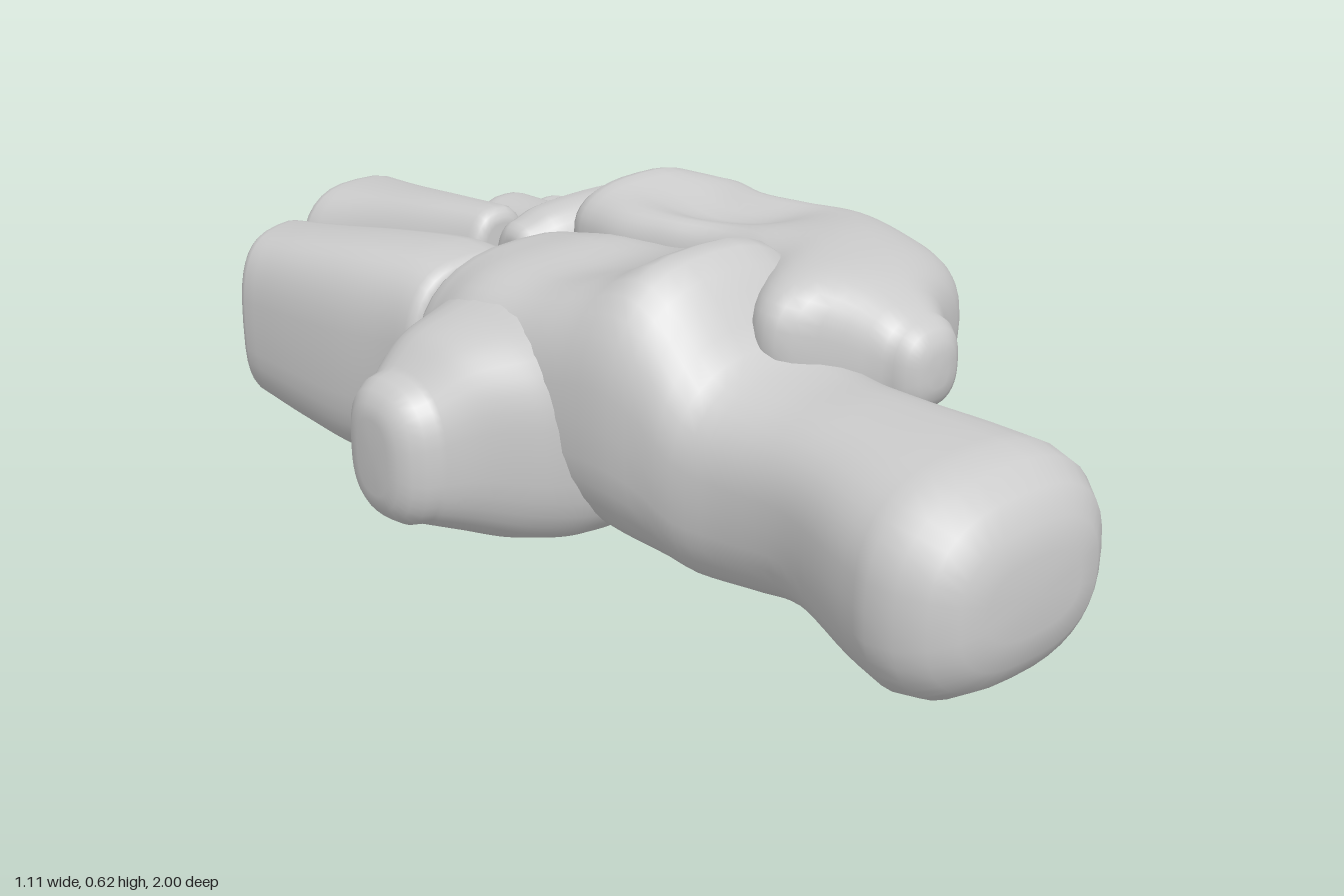
import * as THREE from 'three';

const SEG = 36;

// Samples section rows [t, a0, a1, b0, b1, ...] smoothly at position t
function sample(rows, t) {
  let i = 0;
  while (i < rows.length - 2 && t > rows[i + 1][0]) i++;
  const p = rows[i], q = rows[i + 1], h = q[0] - p[0], u = (t - p[0]) / h;
  const before = rows[Math.max(i - 1, 0)], after = rows[Math.min(i + 2, rows.length - 1)];
  return p.map((v, k) => {
    if (k === 0) return t;
    const m0 = (q[k] - before[k]) / (q[0] - before[0]) * h;
    const m1 = (after[k] - v) / (after[0] - p[0]) * h;
    const u2 = u * u, u3 = u2 * u;
    return (2 * u3 - 3 * u2 + 1) * v + (u3 - 2 * u2 + u) * m0 + (3 * u2 - 2 * u3) * q[k] + (u3 - u2) * m1;
  });
}

// Lofts rounded-box sections along z (a = x, b = y) or along x (a = y, b = z).
// Row: [t, a0, a1, b0, b1, skew, dent]; r = rounding radius of the low and high end;
// slant tilts the low end face.
function bone(name, axis, input, r, { power = 0.78, steps = 36, slant = 0 } = {}) {
  const rows = input.map(([t, a0, a1, b0, b1, skew = 0, dent = 0]) => [t, a0, a1, b0, b1, skew, dent])
    .sort((p, q) => p[0] - q[0]);
  const last = rows.length - 1, low = rows[0][0], high = rows[last][0];
  rows[0][0] += r[0];
  rows[last][0] -= r[1];
  const inset = (row, rad, f, sign) => {
    const d = rad * (1 - Math.cos(f)), [t, a0, a1, b0, b1, s, e] = row;
    return [t + sign * rad * Math.sin(f), a0 + d, a1 - d, b0 + d, b1 - d, s, e];
  };
  const rings = [];
  for (let i = 4; i > 0; i--) rings.push(inset(rows[0], r[0], i * Math.PI / 8, -1));
  for (let i = 0; i <= steps; i++) {
    rings.push(sample(rows, rows[0][0] + (rows[last][0] - rows[0][0]) * i / steps));
  }
  for (let i = 1; i <= 4; i++) rings.push(inset(rows[last], r[1], i * Math.PI / 8, 1));

  const pos = [], idx = [];
  const put = (t, a, b) => axis === 'z' ? pos.push(a, b, t) : pos.push(t, a, b);
  const bend = (v) => Math.sign(v) * Math.abs(v) ** power;
  for (const [t, a0, a1, b0, b1, skew, dent] of rings) {
    for (let j = 0; j < SEG; j++) {
      const f = j / SEG * Math.PI * 2, c = bend(Math.cos(f)), s = bend(Math.sin(f));
      const hollow = dent * Math.max(0, s) * (1 - c * c) ** 2;
      const da = c * (a1 - a0) / 2, tilt = slant * da * (high - t) / (high - low);
      put(t - tilt, (a0 + a1) / 2 + da, (b0 + b1) / 2 + s * (b1 - b0) / 2 + skew * c - hollow);
    }
  }
  const n = rings.length;
  for (let i = 0; i < n - 1; i++) for (let j = 0; j < SEG; j++) {
    const k = (j + 1) % SEG, p = i * SEG, q = p + SEG;
    idx.push(p + j, p + k, q + k, p + j, q + k, q + j);
  }
  // End caps
  for (const [ring, flip] of [[0, true], [n - 1, false]]) {
    const [t, a0, a1, b0, b1] = rings[ring], centre = pos.length / 3;
    put(t, (a0 + a1) / 2, (b0 + b1) / 2);
    for (let j = 0; j < SEG; j++) {
      const p = ring * SEG + j, q = ring * SEG + (j + 1) % SEG;
      if (flip) idx.push(centre, q, p); else idx.push(centre, p, q);
    }
  }
  const g = new THREE.BufferGeometry();
  g.setAttribute('position', new THREE.Float32BufferAttribute(pos, 3));
  g.setIndex(idx);
  g.computeVertexNormals();
  const mesh = new THREE.Mesh(g, new THREE.MeshStandardMaterial({ color: 0xcccccc }));
  mesh.name = name;
  return mesh;
}

export function createModel() {
  const model = new THREE.Group();
  model.name = 'ankleBones';

  // Heel bone: long shaft, side flange and inner shelf
  const heel = new THREE.Group();
  heel.name = 'heelBone';
  heel.add(
    bone('heelShaft', 'z', [
      [1.0, -0.308, 0.198, 0.03, 0.45],
      [0.77, -0.29, 0.185, 0.04, 0.45],
      [0.6, -0.25, 0.155, 0.07, 0.445],
      [0.45, -0.25, 0.17, 0.045, 0.44],
      [0.34, -0.27, 0.2, 0.03, 0.47],
      [0.27, -0.285, 0.2, 0.035, 0.56],
      [0.19, -0.31, 0.2, 0.045, 0.62],
      [0.08, -0.33, 0.2, 0.065, 0.59, 0, 0.03],
      [-0.06, -0.35, 0.2, 0.05, 0.555, 0, 0.04],
      [-0.2, -0.37, 0.2, 0.03, 0.535, 0, 0.02],
      [-0.355, -0.34, 0.18, 0.025, 0.5],
    ], [0.05, 0.14]),
    bone('heelFlange', 'x', [
      [-0.555, 0.085, 0.375, -0.275, -0.04],
      [-0.42, 0.06, 0.43, -0.305, 0.01],
      [-0.34, 0.035, 0.46, -0.335, 0.09],
      [-0.26, 0.035, 0.49, -0.345, 0.17],
      [-0.1, 0.05, 0.48, -0.34, 0.2],
    ], [0.07, 0.04]),
    bone('heelShelf', 'x', [
      [0.0, 0.06, 0.44, -0.33, 0.3],
      [0.17, 0.055, 0.43, -0.32, 0.22],
      [0.26, 0.13, 0.42, -0.22, 0.19],
      [0.34, 0.19, 0.42, -0.1, 0.175],
      [0.42, 0.25, 0.42, -0.045, 0.155],
      [0.51, 0.285, 0.425, -0.025, 0.145],
    ], [0.03, 0.045]),
  );
  model.add(heel);

  // Ankle bone resting on the shelf
  model.add(bone('ankleBone', 'z', [
    [0.54, 0.11, 0.28, 0.325, 0.51],
    [0.43, 0.04, 0.33, 0.31, 0.55, -0.02],
    [0.38, -0.045, 0.42, 0.305, 0.57, -0.035],
    [0.31, -0.05, 0.475, 0.305, 0.58, -0.03],
    [0.2, 0.05, 0.485, 0.31, 0.58, -0.015],
    [0.1, 0.11, 0.47, 0.35, 0.585, -0.01, 0.02],
    [0.0, 0.12, 0.415, 0.37, 0.585, 0, 0.05],
    [-0.1, 0.085, 0.39, 0.37, 0.585, 0, 0.06],
    [-0.2, 0.055, 0.41, 0.37, 0.58, 0, 0.04],
    [-0.35, 0.055, 0.385, 0.375, 0.57],
  ], [0.045, 0.06]));

  // Cupped bone between the ankle and the toe-side bones
  model.add(bone('cupBone', 'x', [
    [0.0, 0.06, 0.47, -0.535, -0.38],
    [0.08, 0.02, 0.49, -0.535, -0.36],
    [0.2, 0.005, 0.5, -0.54, -0.33],
    [0.31, 0.04, 0.5, -0.535, -0.29],
    [0.38, 0.085, 0.5, -0.5, -0.25],
    [0.5, 0.16, 0.47, -0.43, -0.215],
  ], [0.035, 0.055], { power: 0.72 }));

  // Four toe-side bones
  const toeBone = (name, rows, power, slant = 0) =>
    model.add(bone(name, 'z', rows, [0.035, 0.03], { power, slant, steps: 16 }));
  toeBone('outerBlock', [
    [-0.36, -0.32, 0.005, 0.04, 0.465], [-0.46, -0.33, 0.0, 0.015, 0.47],
    [-0.6, -0.36, -0.06, 0.005, 0.46], [-0.75, -0.385, -0.125, 0.035, 0.44],
    [-0.91, -0.4, -0.155, 0.06, 0.42],
  ], 0.7, 0.35);
  toeBone('middleBlock', [
    [-0.53, -0.05, 0.12, 0.03, 0.475], [-0.7, -0.09, 0.115, 0.03, 0.465],
    [-0.85, -0.13, 0.12, 0.045, 0.45], [-1.0, -0.17, 0.135, 0.055, 0.44],
  ], 0.72);
  toeBone('shortBlock', [
    [-0.535, 0.12, 0.33, 0.045, 0.42], [-0.66, 0.13, 0.325, 0.055, 0.41],
    [-0.795, 0.135, 0.315, 0.075, 0.405],
  ], 0.72);
  toeBone('slenderBone', [
    [-0.355, 0.385, 0.545, 0.15, 0.39], [-0.43, 0.365, 0.54, 0.13, 0.4],
    [-0.55, 0.34, 0.515, 0.13, 0.35], [-0.7, 0.345, 0.51, 0.12, 0.3],
    [-0.82, 0.37, 0.53, 0.1, 0.295], [-0.96, 0.385, 0.555, 0.065, 0.3],
  ], 0.8);
  return model;
}
